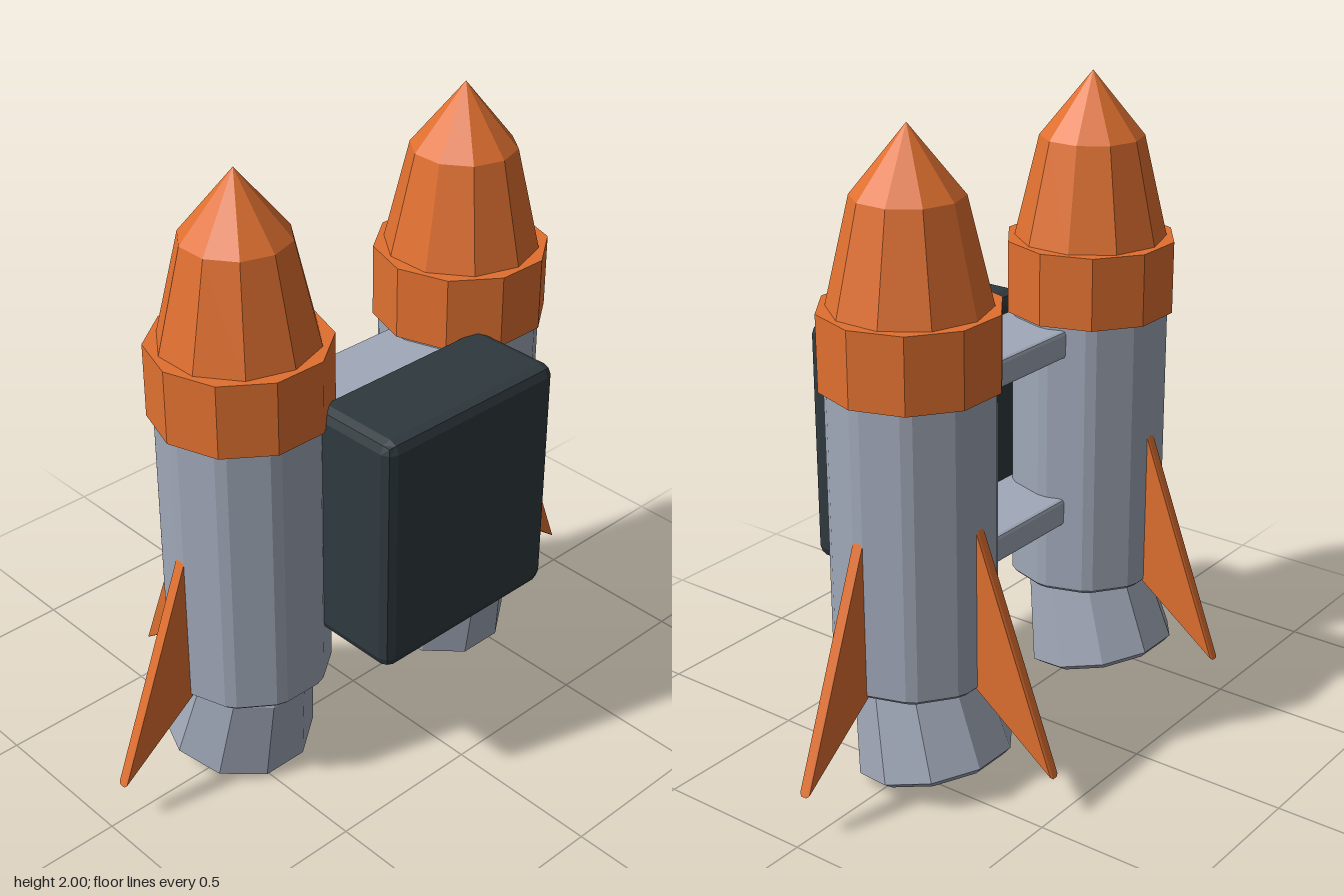
import * as THREE from 'three';
import { RoundedBoxGeometry } from 'three/addons/geometries/RoundedBoxGeometry.js';

const material = (name, color) => {
  const m = new THREE.MeshStandardMaterial({ color, flatShading: true });
  m.name = name;
  return m;
};

const SIDES = 10;
const TANK_X = 0.008;
const TANK_Z = 0.443;

function addMesh(parent, name, geometry, mat, x = 0, y = 0, z = 0) {
  const mesh = new THREE.Mesh(geometry, mat);
  mesh.name = name;
  mesh.position.set(x, y, z);
  parent.add(mesh);
  return mesh;
}

const lathe = (points) =>
  new THREE.LatheGeometry(points.map(([r, y]) => new THREE.Vector2(r, y)), SIDES);

// Ten-sided prism with narrow chamfers on the long and end edges
function tankGeometry(radius, bottom, top) {
  const points = [];
  const cut = THREE.MathUtils.degToRad(4);
  const bevel = 0.012;
  for (let i = 0; i < SIDES; i++) {
    const a = Math.PI / 2 + (i / SIDES) * Math.PI * 2;
    for (const d of [-cut, cut]) {
      points.push(new THREE.Vector2(Math.cos(a + d) * radius, Math.sin(a + d) * radius));
    }
  }
  const g = new THREE.ExtrudeGeometry(new THREE.Shape(points), {
    depth: top - bottom - bevel * 2, bevelEnabled: true, bevelSegments: 1,
    bevelSize: bevel, bevelThickness: bevel, bevelOffset: -bevel,
  });
  g.rotateX(-Math.PI / 2);
  g.translate(0, bottom + bevel, 0);
  return g;
}

// Swept triangular fin pointing along +x
function finGeometry() {
  const shape = new THREE.Shape([
    new THREE.Vector2(0.23, 0.895),
    new THREE.Vector2(0.23, 0.353),
    new THREE.Vector2(0.513, 0.145),
  ]);
  const g = new THREE.ExtrudeGeometry(shape, {
    depth: 0.019, bevelEnabled: true, bevelSegments: 1,
    bevelSize: 0.006, bevelThickness: 0.008, bevelOffset: -0.006,
  });
  g.translate(0, 0, -0.0095);
  return g;
}

export function createModel() {
  const orange = material('orange paint', 0xe07030);
  const grey = material('grey metal', 0xa0a8b8);
  const dark = material('dark pack', 0x2f393e);
  const flame = material('burner amber', 0xc87a2a);

  const model = new THREE.Group();
  model.name = 'jetpack';

  const bodyGeo = tankGeometry(0.2505, 0.348, 1.27);
  const bandGeo = lathe([[0, 1.252], [0.27, 1.252], [0.27, 1.482], [0, 1.482]]);
  const noseGeo = lathe([[0.24, 1.475], [0.163, 1.8], [0, 2]]);
  noseGeo.rotateY(Math.PI / SIDES);
  const nozzleGeo = lathe([[0, 0], [0.215, 0], [0.242, 0.02], [0.2, 0.295], [0.185, 0.315], [0, 0.315]]);
  const burnerGeo = new THREE.CylinderGeometry(0.188, 0.188, 0.009, SIDES);
  const finGeo = finGeometry();

  // Two rocket tanks, mirrored front to back
  for (const side of [1, -1]) {
    const rocket = new THREE.Group();
    rocket.name = side > 0 ? 'frontRocket' : 'backRocket';
    rocket.position.set(TANK_X, 0, side * TANK_Z);
    model.add(rocket);

    addMesh(rocket, 'tankBody', bodyGeo, grey);
    addMesh(rocket, 'collarBand', bandGeo, orange);
    addMesh(rocket, 'noseCone', noseGeo, orange);

    // Tilted exhaust nozzle with its burner disc
    const exhaust = new THREE.Group();
    exhaust.name = 'exhaust';
    exhaust.position.set(-0.076, 0.055, 0);
    exhaust.rotation.z = -0.24;
    rocket.add(exhaust);
    addMesh(exhaust, 'nozzle', nozzleGeo, grey);
    addMesh(exhaust, 'burnerDisc', burnerGeo, flame, 0, -0.0035, 0);

    // One fin towards -x, one pointing away from the other rocket
    addMesh(rocket, 'sideFin', finGeo, orange).rotation.y = Math.PI;
    addMesh(rocket, 'outerFin', finGeo, orange).rotation.y = -side * Math.PI / 2;
  }

  // Crossbars joining the tanks
  for (const [name, y] of [['upperCrossbar', 1.195], ['lowerCrossbar', 0.63]]) {
    addMesh(model, name, new RoundedBoxGeometry(0.27, 0.09, 0.6, 1, 0.012), grey, 0.07, y, 0);
  }

  // Pack with chamfered edges
  addMesh(model, 'pack', new RoundedBoxGeometry(0.315, 0.775, 0.675, 1, 0.035), dark, 0.345, 0.9125, 0);

  return model;
}
